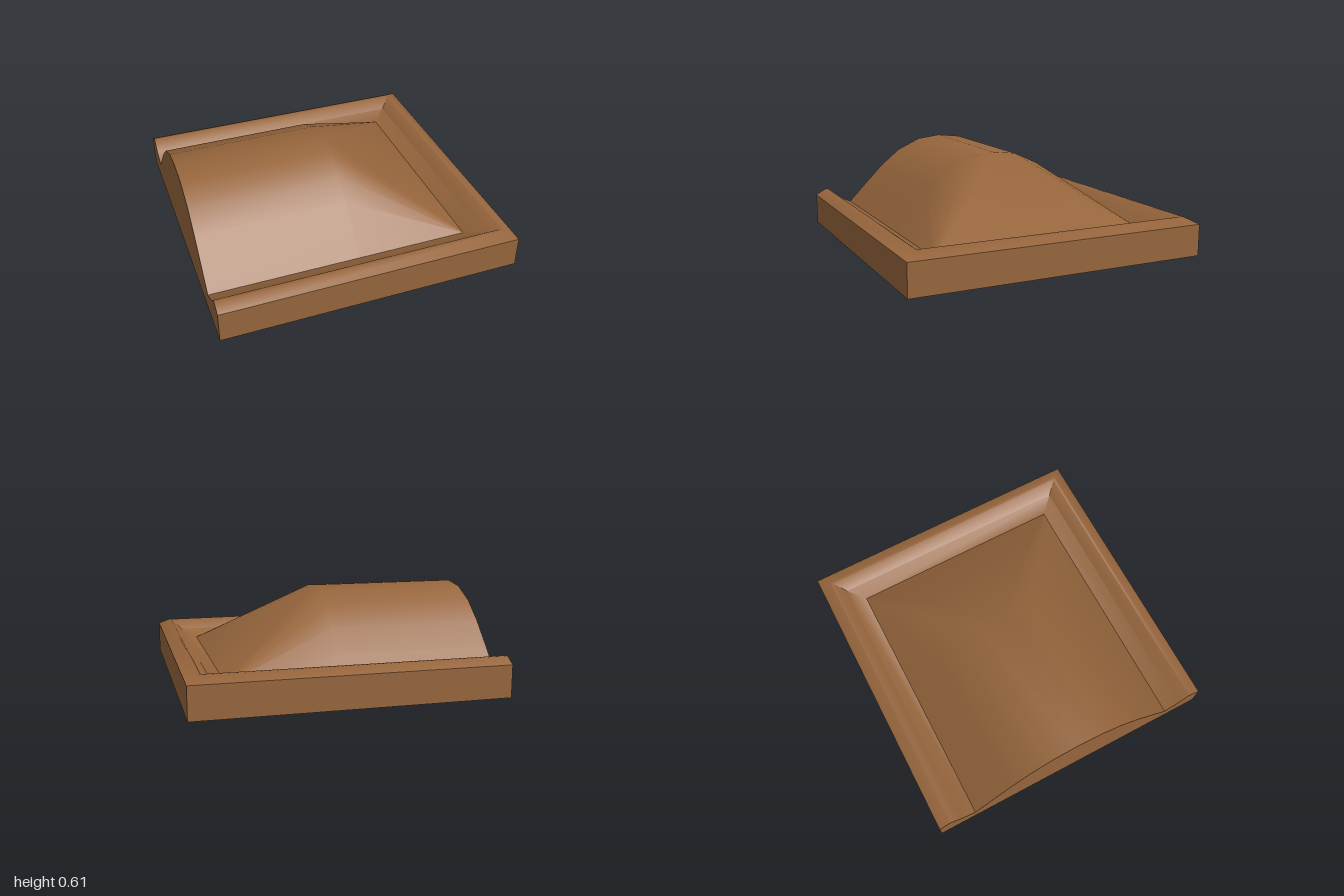
import * as THREE from 'three';
import { toCreasedNormals } from 'three/addons/utils/BufferGeometryUtils.js';

// Rim cross-section: [distance from centre, height], outer foot to groove
const RIM = [[1, 0], [1, 0.21], [0.93, 0.25], [0.91, 0.25], [0.84, 0.185], [0.74, 0.137]];
// Ridge cross-section: [z, height], groove to crest
const HALF = [[0.74, 0.137], [0.63, 0.25], [0.48, 0.4], [0.34, 0.512], [0.17, 0.59], [0, 0.61]];
const mirror = (pts) => pts.map(([z, y]) => [-z, y]).reverse();
const RIDGE = [...HALF, ...mirror(HALF).slice(1)];
const GROOVE = 0.74, FLOOR = 0.137;

// Collects triangles and turns them into a mesh with smooth curves and sharp creases
function surface(name, material, crease, build) {
  const pos = [];
  const tri = (a, b, c) => pos.push(...a, ...b, ...c);
  const quad = (a, b, c, d) => { tri(a, b, c); tri(a, c, d); };
  build(tri, quad);
  const geo = new THREE.BufferGeometry();
  geo.setAttribute('position', new THREE.Float32BufferAttribute(pos, 3));
  const mesh = new THREE.Mesh(toCreasedNormals(geo, crease), material);
  mesh.name = name;
  return mesh;
}

export function createModel() {
  const group = new THREE.Group();
  group.name = 'ridgedBlock';
  const brown = new THREE.MeshStandardMaterial({ color: 0x96653c });

  // Rim: profile swept round three sides with mitred corners
  group.add(surface('rim', brown, 0.78, (tri, quad) => {
    const at = ([r, y], s) => [[-1, y, r], [r, y, r], [r, y, -r], [-1, y, -r]][s];
    for (let s = 0; s < 3; s++)
      for (let i = 0; i < RIM.length - 1; i++)
        quad(at(RIM[i], s), at(RIM[i], s + 1), at(RIM[i + 1], s + 1), at(RIM[i + 1], s));
  }));

  // Ridge: straight vault, then a hipped slope down to the groove corners
  group.add(surface('ridge', brown, 0.78, (tri, quad) => {
    const at = (x, [z, y]) => [x, y, z];
    const front = [GROOVE, FLOOR, GROOVE], back = [GROOVE, FLOOR, -GROOVE];
    const crest = HALF.length - 1;
    for (let j = 0; j < RIDGE.length - 1; j++) {
      const a = RIDGE[j], b = RIDGE[j + 1];
      quad(at(-1, a), at(0, a), at(0, b), at(-1, b));
      tri(at(0, a), j < crest ? front : back, at(0, b));
    }
    tri(front, back, at(0, RIDGE[crest]));
  }));

  // Flat cut end showing the full cross-section
  group.add(surface('cutEnd', brown, 0.5, (tri) => {
    const outline = [...RIM, ...RIDGE.slice(1, -1), ...mirror(RIM)]
      .map(([z, y]) => new THREE.Vector2(z, y));
    const at = (i) => [-1, outline[i].y, outline[i].x];
    for (const [a, b, c] of THREE.ShapeUtils.triangulateShape(outline, [])) tri(at(a), at(b), at(c));
  }));

  // Underside
  group.add(surface('underside', brown, 0.5, (tri, quad) => {
    quad([-1, 0, 1], [-1, 0, -1], [1, 0, -1], [1, 0, 1]);
  }));

  return group;
}
